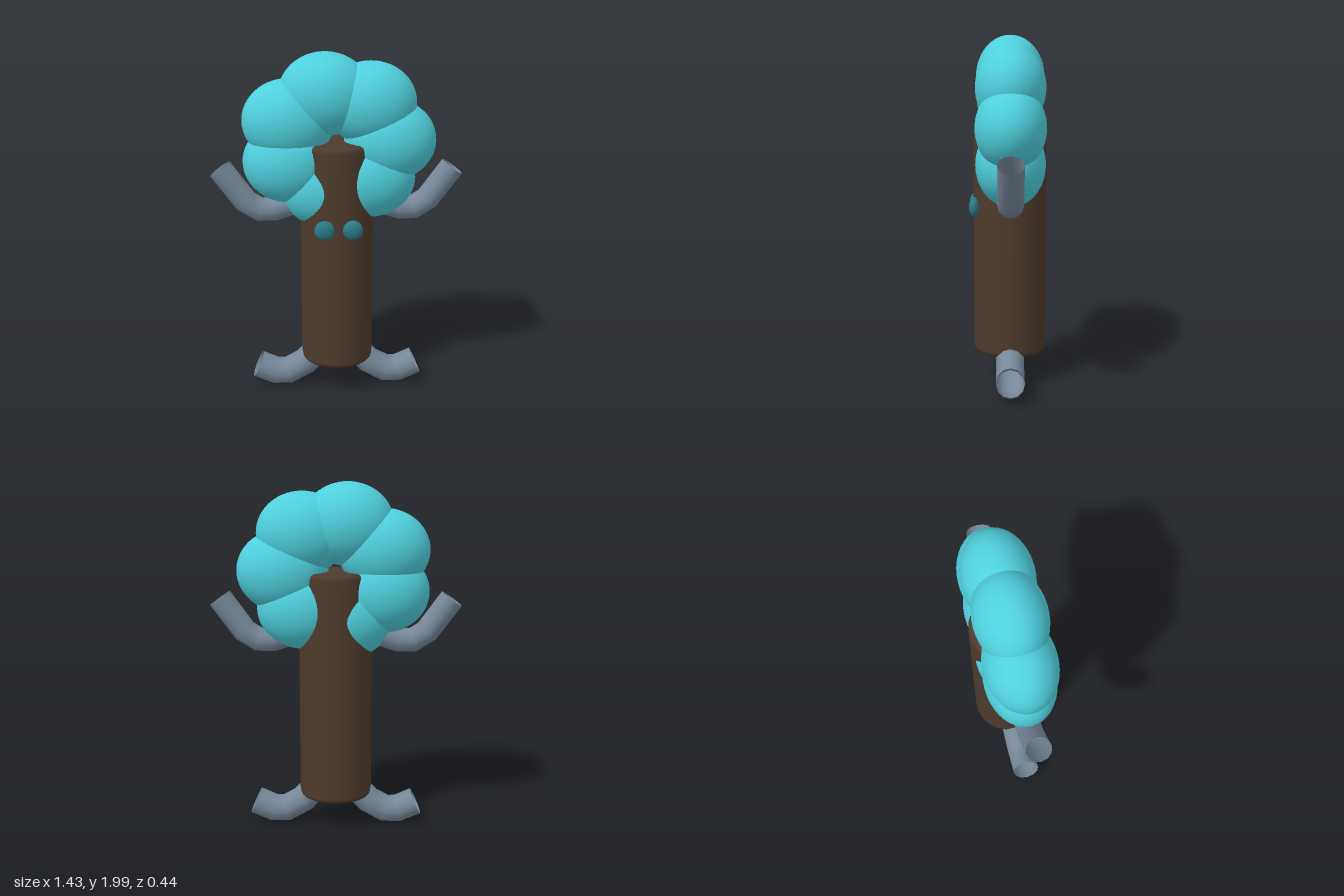
import * as THREE from 'three';

const Z = -0.012; // depth of the body's middle plane

const paint = (color, side = THREE.FrontSide) =>
  new THREE.MeshStandardMaterial({ color, side });

// Path of straight runs, so that a tube along it keeps its kinks
class Polyline extends THREE.Curve {
  constructor(points) {
    super();
    this.points = points;
  }
  getPoint(t, target = new THREE.Vector3()) {
    const n = this.points.length - 1;
    const i = Math.min(Math.floor(t * n), n - 1);
    return target.lerpVectors(this.points[i], this.points[i + 1], t * n - i);
  }
  getUtoTmapping(u) {
    return u;
  }
}

function limb(name, points, radius, side, material) {
  const path = new Polyline(points.map(([x, y]) => new THREE.Vector3(side * x, y, Z)));
  const mesh = new THREE.Mesh(
    new THREE.TubeGeometry(path, points.length - 1, radius, 12), material);
  mesh.name = (side > 0 ? 'left' : 'right') + name;
  return mesh;
}

export function createModel() {
  const model = new THREE.Group();
  model.name = 'treeCreature';

  // Trunk with softly rounded rims
  const R = 0.208, bottom = 0.18, top = 1.5, bevel = 0.03;
  const profile = [new THREE.Vector2(0, bottom)];
  for (const [y, start] of [[bottom + bevel, -Math.PI / 2], [top - bevel, 0]]) {
    for (let i = 0; i <= 5; i++) {
      const a = start + (i / 5) * Math.PI / 2;
      profile.push(new THREE.Vector2(R - bevel + bevel * Math.cos(a), y + bevel * Math.sin(a)));
    }
  }
  profile.push(new THREE.Vector2(0, top));
  const trunk = new THREE.Mesh(new THREE.LatheGeometry(profile, 48), paint(0x4d3a2c));
  trunk.name = 'trunk';
  trunk.position.z = Z;
  model.add(trunk);

  // Crown: a ring of seven puffs, flattened as a whole
  const crown = new THREE.Group();
  crown.name = 'crown';
  crown.position.set(0, 1.5, Z - 0.002);
  crown.scale.set(1, 0.9, 0.75);
  const puffShape = new THREE.SphereGeometry(0.26, 40, 28);
  const leafPaint = paint(0x4fd0de);
  for (let i = 0; i < 7; i++) {
    const a = (i / 7) * Math.PI * 2;
    const puff = new THREE.Mesh(puffShape, leafPaint);
    puff.name = 'puff' + (i + 1);
    puff.position.set(0.3 * Math.cos(a), 0.3 * Math.sin(a), 0);
    crown.add(puff);
  }
  model.add(crown);

  // Eyes, arms and legs, mirrored
  const eyeShape = new THREE.SphereGeometry(0.057, 24, 16);
  const eyePaint = paint(0x2b7a86);
  const limbPaint = paint(0x778899, THREE.DoubleSide);
  const armPath = [[0.15, 1.175], [0.27, 1.135], [0.36, 1.105], [0.44, 1.105], [0.52, 1.155], [0.657, 1.343]];
  const legPath = [[0.06, 0.28], [0.19, 0.14], [0.29, 0.084], [0.365, 0.084], [0.47, 0.13]];
  for (const side of [1, -1]) {
    const eye = new THREE.Mesh(eyeShape, eyePaint);
    eye.name = side > 0 ? 'leftEye' : 'rightEye';
    eye.position.set(side * 0.079, 1.035, 0.191);
    eye.scale.z = 0.53;
    model.add(eye);
    model.add(limb('Arm', armPath, 0.071, side, limbPaint));
    model.add(limb('Leg', legPath, 0.08, side, limbPaint));
  }
  return model;
}
